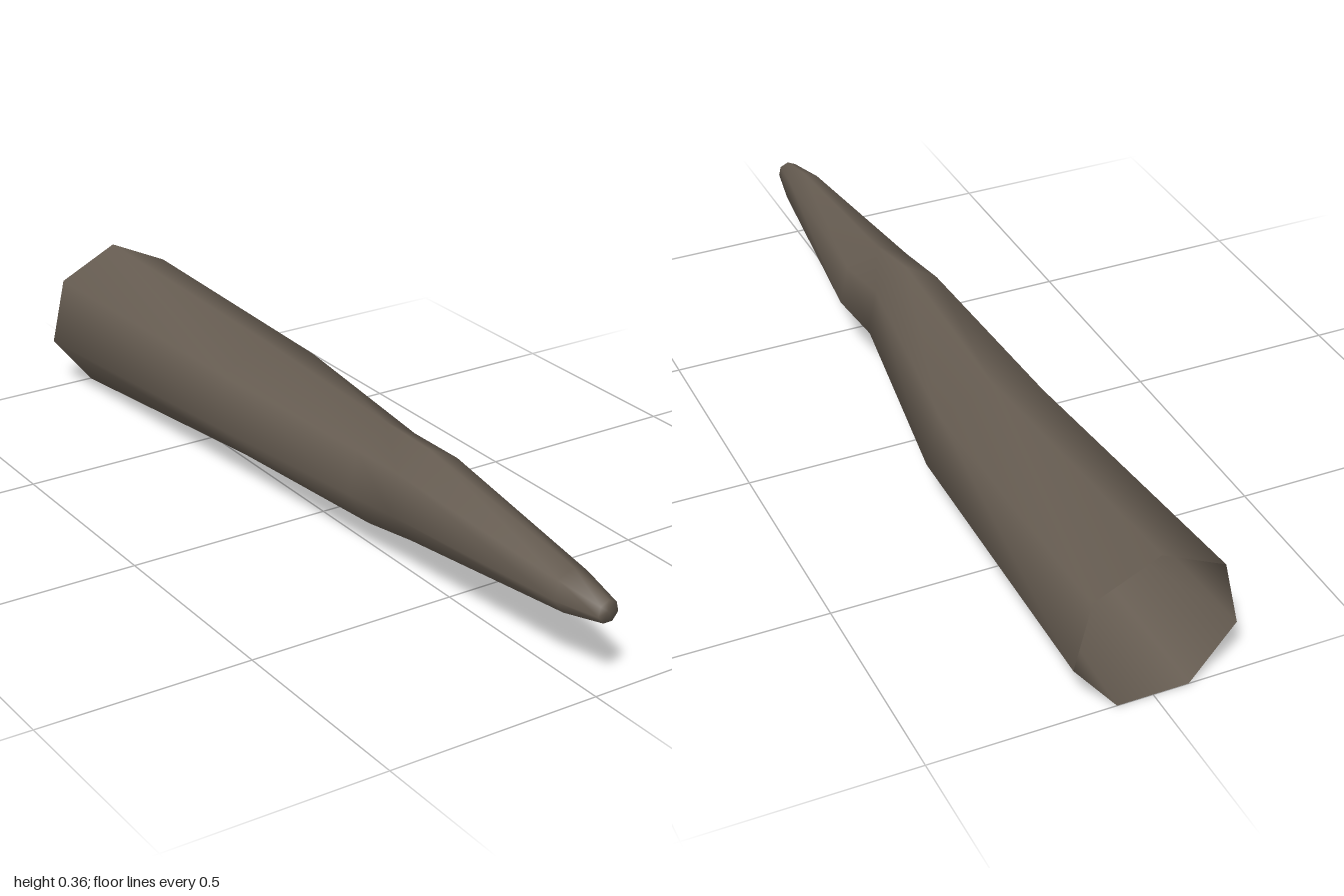
import * as THREE from 'three';

const SIDES = 7;

// Cross-sections from the open back to the tip: z, centre x, centre y, radius x, radius y
const RINGS = [
  [-1.0, 0.0, 0.169, 0.188, 0.188],
  [-0.28, 0.028, 0.176, 0.159, 0.143],
  [0.24, 0.008, 0.191, 0.1, 0.124],
  [0.38, 0.024, 0.19, 0.099, 0.11],
  [0.89, 0.018, 0.187, 0.048, 0.051],
  [1.0, 0.02, 0.187, 0.026, 0.026],
];

// Seven-sided smooth loft, open at the back and closed at the tip
function loft(rings) {
  const positions = [];
  const index = [];
  rings.forEach(([z, cx, cy, rx, ry], i) => {
    for (let j = 0; j < SIDES; j++) {
      const a = (j / SIDES) * Math.PI * 2;
      // one lower corner of the second ring is pushed in, making a dent
      const dent = i === 1 && j === 3 ? 0.036 : 0;
      positions.push(cx + rx * Math.sin(a), cy + ry * Math.cos(a) + dent, z);
    }
  });
  for (let i = 0; i < rings.length - 1; i++) {
    for (let j = 0; j < SIDES; j++) {
      const a = i * SIDES + j;
      const b = i * SIDES + (j + 1) % SIDES;
      index.push(a, a + SIDES, b, b, a + SIDES, b + SIDES);
    }
  }
  // tip cap
  const last = (rings.length - 1) * SIDES;
  const [z, cx, cy] = rings[rings.length - 1];
  const centre = positions.length / 3;
  positions.push(cx, cy, z);
  for (let j = 0; j < SIDES; j++) index.push(centre, last + (j + 1) % SIDES, last + j);

  const geometry = new THREE.BufferGeometry();
  geometry.setAttribute('position', new THREE.Float32BufferAttribute(positions, 3));
  geometry.setIndex(index);
  geometry.computeVertexNormals();
  return geometry;
}

export function createModel() {
  const group = new THREE.Group();
  group.name = 'taperedHorn';

  const material = new THREE.MeshStandardMaterial({ color: 0x675d52, side: THREE.DoubleSide });
  material.name = 'greyBrown';

  const shell = new THREE.Mesh(loft(RINGS), material);
  shell.name = 'hornShell';
  group.add(shell);
  return group;
}
